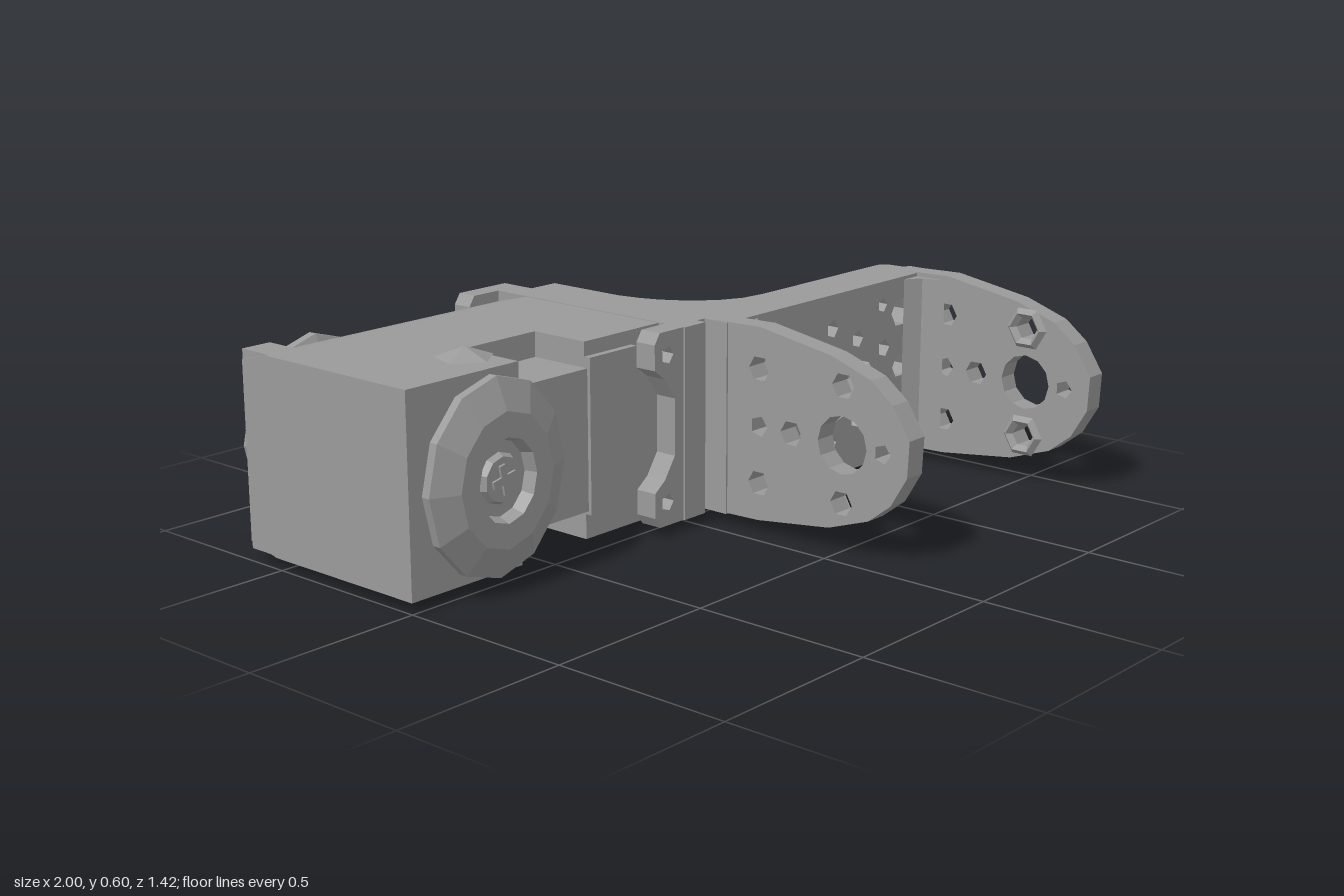
import * as THREE from 'three';

const metal = new THREE.MeshStandardMaterial({ color: 0x9a9a9a });
metal.name = 'grey metal';
metal.flatShading = true;

const Y0 = 0.03, Y1 = 0.57, YM = 0.3;

function outline(points, holes = []) {
  const s = new THREE.Shape(points.map(p => new THREE.Vector2(p[0], p[1])));
  for (const [x, y, r, n = 6] of holes) {
    const h = [];
    for (let i = 0; i < n; i++) {
      const a = -i / n * Math.PI * 2;
      h.push(new THREE.Vector2(x + r * Math.cos(a), y + r * Math.sin(a)));
    }
    s.holes.push(new THREE.Path(h));
  }
  return s;
}

// Mirrors small holes above and below the centre line
const pair = (x, dy, r, n) => [[x, YM + dy, r, n], [x, YM - dy, r, n]];

export function createModel() {
  const model = new THREE.Group();
  model.name = 'servoBracket';

  const add = (name, geo, parent = model) => {
    const m = new THREE.Mesh(geo, metal);
    m.name = name;
    parent.add(m);
    return m;
  };
  const box = (name, x0, x1, y0, y1, z0, z1) => {
    const g = new THREE.BoxGeometry(x1 - x0, y1 - y0, z1 - z0);
    g.translate((x0 + x1) / 2, (y0 + y1) / 2, (z0 + z1) / 2);
    return add(name, g);
  };
  const extrude = (shape, depth) =>
    new THREE.ExtrudeGeometry(shape, { depth, bevelEnabled: false, curveSegments: 6 });
  // Plates lying across z, x and y
  const plateZ = (name, shape, z0, z1) => add(name, extrude(shape, z1 - z0).translate(0, 0, z0));
  const plateX = (name, shape, x0, x1) =>
    add(name, extrude(shape, x1 - x0).rotateY(-Math.PI / 2).translate(x1, 0, 0));
  const plateY = (name, shape, y0, y1) =>
    add(name, extrude(shape, y1 - y0).rotateX(Math.PI / 2).translate(0, y1, 0));

  // Servo case: rear block with bevelled edges, front block with a cable recess
  plateX('caseRear', outline([
    [-0.2, Y0], [-0.2, Y1], [-0.52, Y1], [-0.62, 0.545], [-0.62, 0.055], [-0.52, Y0],
  ]), -1, -0.07);
  box('caseFrontEnd', -1, -0.62, Y0, Y1, -0.2, 0);
  box('caseFrontMiddle', -0.62, -0.36, 0.11, 0.5, -0.2, -0.01);
  plateZ('caseFrontInner', outline([
    [-0.36, Y0], [-0.07, Y0], [-0.07, Y1], [-0.36, Y1],
  ]), -0.2, -0.02);
  plateZ('caseFrontPanel', outline([
    [-0.36, 0.1], [-0.18, 0.1], [-0.11, 0.2], [-0.11, 0.4], [-0.18, 0.53], [-0.36, 0.53],
  ]), -0.02, 0);
  // Raised corners of the rear lid
  for (const y of [0.5, Y0]) box('lidCorner', -0.99, -0.9, y, y + 0.07, -0.63, -0.52);
  // Small lugs on the upper and lower faces of the case
  for (const [x, s] of [[-0.68, 1], [-0.86, -1]]) {
    const lug = add('caseLug', new THREE.ConeGeometry(0.08, 0.03, 5));
    lug.position.set(x, YM + s * 0.285, -0.13);
    if (s < 0) lug.rotation.x = Math.PI;
  }

  // Output and idler horns with hub ring and crossed screw
  for (const front of [true, false]) {
    const horn = new THREE.Group();
    horn.name = front ? 'outputHorn' : 'idlerHorn';
    const profile = [
      [0, 0], [0.2, 0], [0.235, 0.02], [0.235, 0.045], [0.16, 0.08],
      [0.1, 0.08], [0.09, 0.045], [0, 0.045],
    ].map(p => new THREE.Vector2(p[0], p[1]));
    const disc = add('hornDisc', new THREE.LatheGeometry(profile, 12), horn);
    disc.rotation.x = Math.PI / 2;
    disc.scale.z = 1.12;
    const screw = add('hornScrew', new THREE.CylinderGeometry(0.06, 0.07, 0.02, 10), horn);
    screw.rotation.x = Math.PI / 2;
    screw.position.z = 0.052;
    for (let i = 0; i < 2; i++) {
      const bar = add('screwCross', new THREE.BoxGeometry(0.08, 0.02, 0.008), horn);
      bar.rotation.z = i * Math.PI / 2 + 0.2;
      bar.position.z = 0.065;
    }
    horn.position.set(-0.74, YM, front ? 0 : -0.62);
    if (!front) horn.rotation.y = Math.PI;
    model.add(horn);
  }

  // Channel that clamps the end of the servo
  box('clampPlate', -0.065, 0.02, Y0, Y1, -0.7, 0.07);
  const flange = outline([
    [-0.06, Y0], [-0.06, Y1], [-0.16, Y1], [-0.18, 0.54], [-0.18, 0.47], [-0.14, 0.44],
    [-0.1, 0.38], [-0.1, 0.22], [-0.14, 0.16], [-0.18, 0.13], [-0.18, 0.06], [-0.16, Y0],
  ], pair(-0.13, 0.205, 0.025, 5));
  plateZ('frontFlange', flange, 0, 0.065);
  plateZ('rearFlange', flange, -0.7, -0.64);

  // Angle bracket: short leg with rounded rear corners
  plateX('angleShortLeg', outline([
    [0.04, Y0], [0.04, Y1], [-0.59, Y1], [-0.64, 0.55], [-0.675, 0.51],
    [-0.675, 0.09], [-0.64, 0.05], [-0.59, Y0],
  ], [[-0.15, YM, 0.055, 5], [-0.48, YM, 0.045, 4], ...pair(-0.31, 0.165, 0.04, 5)]), 0.02, 0.115);
  // Curved web, cut away in the middle above the screw hole
  const fillet = outline([
    [0.115, -0.04], [0.115, -0.34], [0.128, -0.27], [0.15, -0.21],
    [0.19, -0.145], [0.25, -0.085], [0.32, -0.05], [0.4, -0.04],
  ]);
  plateY('filletLower', fillet, Y0, 0.24);
  plateY('filletUpper', fillet, 0.36, Y1);
  plateY('filletMiddle', outline([
    [0.115, -0.04], [0.115, -0.09], [0.2, -0.09], [0.28, -0.065], [0.34, -0.04],
  ]), 0.24, 0.36);
  // Long leg
  plateZ('angleLongLeg', outline([
    [0.1, Y0], [0.95, Y0], [0.95, Y1], [0.1, Y1],
  ], [[0.36, YM, 0.03, 5], ...pair(0.86, 0.165, 0.035, 5)]), -0.04, 0.04);
  plateY('longLegEdge', outline([
    [0.95, -0.04], [0.975, -0.02], [0.98, 0.04], [0.95, 0.04],
  ]), Y0, Y1);

  // U bracket base with round opening and mounting holes
  const ring = [];
  for (let i = 0; i < 8; i++) {
    const a = i * Math.PI / 4;
    ring.push([0.52 + 0.17 * Math.cos(a), YM + 0.17 * Math.sin(a), 0.027, 5]);
  }
  plateZ('forkBase', outline([
    [0.05, Y0], [1, Y0], [1, Y1], [0.05, Y1],
  ], [
    [0.52, YM, 0.115, 12], ...ring,
    ...pair(0.21, 0.165, 0.045), ...pair(0.85, 0.165, 0.045),
    ...pair(0.3, 0.065, 0.025, 5), ...pair(0.22, 0.06, 0.028, 5),
    ...pair(0.77, 0.07, 0.028, 5), [0.85, YM, 0.035, 6],
    ...pair(0.29, 0.2, 0.022, 5), ...pair(0.76, 0.2, 0.022, 5),
  ]), 0.04, 0.12);

  // U bracket arms, tapering to a rounded tip
  const arm = outline([
    [0.05, Y0], [0.23, Y0 + 0.005], [0.47, 0.065], [0.6, 0.11], [0.67, 0.165], [0.72, 0.25],
    [0.725, 0.35], [0.67, 0.435], [0.6, 0.49], [0.47, 0.535], [0.23, 0.575], [0.05, Y1],
  ], [
    [0.51, YM, 0.08, 12], ...pair(0.51, 0.16, 0.036), ...pair(0.23, 0.16, 0.036),
    [0.34, YM, 0.036], [0.23, YM, 0.03, 5], [0.64, YM, 0.027, 5],
  ]);
  plateX('innerArm', arm, 0.055, 0.12);
  plateX('outerArm', arm, 0.93, 0.995);

  // Bosses around the arm tips and sloped gussets in the inside corners
  for (const s of [1, -1]) {
    const side = s > 0 ? 'inner' : 'outer';
    const x = v => 0.525 - s * v;
    plateY(side + 'Gusset', outline([
      [x(0.405), 0.12], [x(0.34), 0.12], [x(0.39), 0.15], [x(0.405), 0.22],
    ]), Y0 + 0.01, Y1 - 0.01);
    for (const sy of [1, -1]) {
      const lip = add(side + 'ArmBoss', new THREE.TorusGeometry(0.05, 0.016, 4, 6));
      lip.rotation.y = Math.PI / 2;
      lip.position.set(x(0.404), YM + sy * 0.16, 0.51);
    }
  }

  return model;
}
